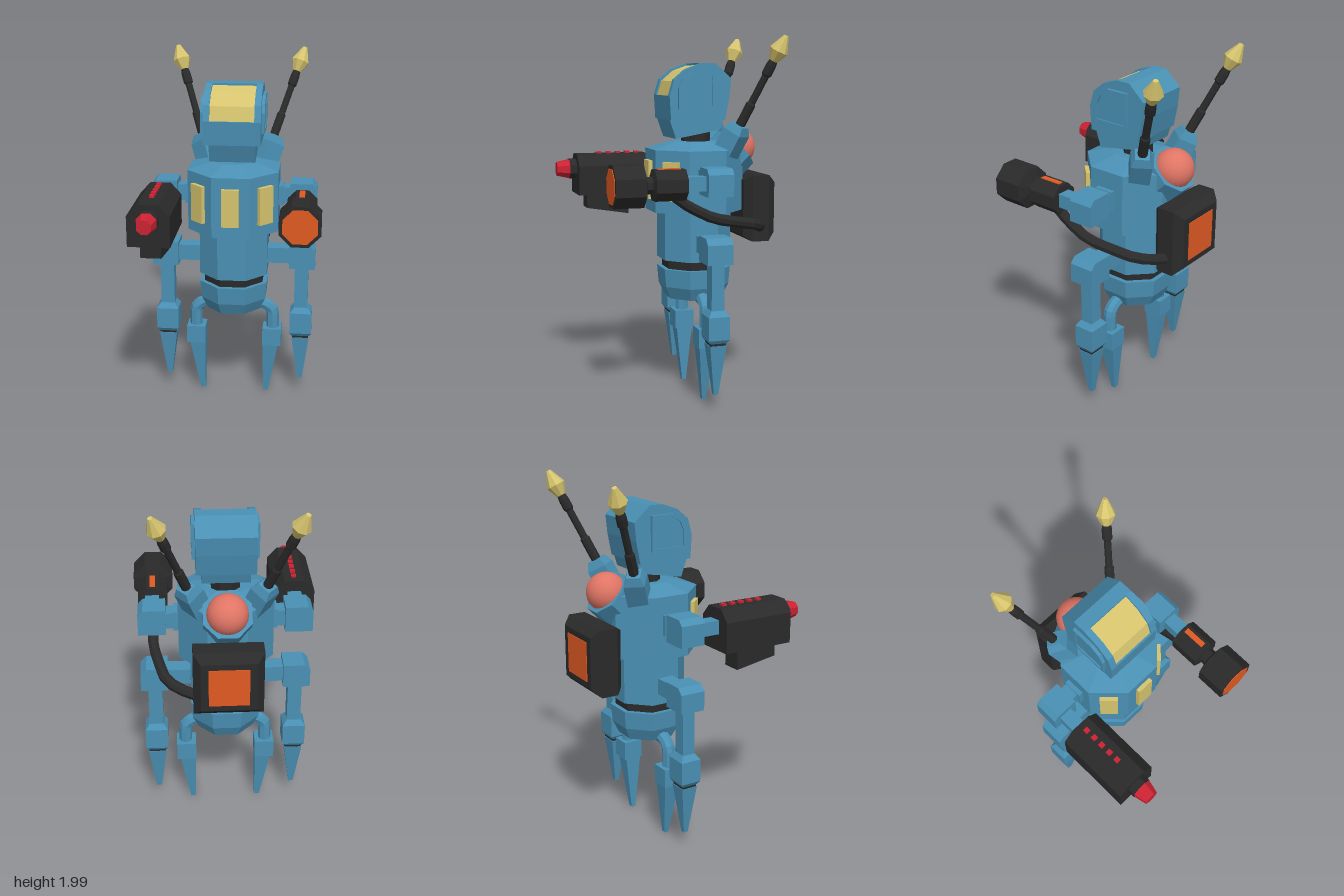
import * as THREE from 'three';

const material = (color) => new THREE.MeshStandardMaterial({ color, flatShading: true });
const BLUE = material(0x4a90b4), DARK = material(0x2a2a2a), YELLOW = material(0xd6c46e);
const ORANGE = material(0xe05a22), RED = material(0xcc2233);
const CORAL = new THREE.MeshStandardMaterial({ color: 0xe07565 });
const CZ = -0.14; // depth of the body axis
const V = (x, y, z) => new THREE.Vector3(x, y, z);

function add(parent, name, geometry, mat, x = 0, y = 0, z = 0) {
  const mesh = new THREE.Mesh(geometry, mat);
  mesh.name = name;
  mesh.position.set(x, y, z);
  parent.add(mesh);
  return mesh;
}

// Box given by its extents on each axis
function box(parent, name, mat, [x0, x1], [y0, y1], [z0, z1]) {
  return add(parent, name, new THREE.BoxGeometry(x1 - x0, y1 - y0, z1 - z0), mat,
    (x0 + x1) / 2, (y0 + y1) / 2, (z0 + z1) / 2);
}

// Octagonal turned form; rows are [half width across flats, height]
function octagon(rows) {
  const pts = [[0, rows[0][1]], ...rows, [0, rows.at(-1)[1]]];
  const k = 1 / Math.cos(Math.PI / 8);
  const g = new THREE.LatheGeometry(pts.map(([r, y]) => new THREE.Vector2(r * k, y)), 8);
  return g.rotateY(Math.PI / 8);
}
const octagonZ = (rows) => octagon(rows).rotateX(Math.PI / 2);

// Square-section form along y; rows are [centre x, half x, half z, y], bottom up
function squareLoft(rows) {
  const pos = [], idx = [];
  rows.forEach(([c, a, b, y]) => pos.push(c - a, y, b, c + a, y, b, c + a, y, -b, c - a, y, -b));
  for (let r = 0; r < rows.length - 1; r++) for (let i = 0; i < 4; i++) {
    const a = r * 4 + i, b = r * 4 + (i + 1) % 4;
    idx.push(a, b, b + 4, a, b + 4, a + 4);
  }
  const t = (rows.length - 1) * 4;
  idx.push(0, 2, 1, 0, 3, 2, t, t + 1, t + 2, t, t + 2, t + 3);
  const g = new THREE.BufferGeometry();
  g.setAttribute('position', new THREE.Float32BufferAttribute(pos, 3));
  g.setIndex(idx);
  g.computeVertexNormals();
  return g;
}

// Extruded outline, centred on its depth
function extrude(points, depth, hole) {
  const toV = (list) => list.map(([x, y]) => new THREE.Vector2(x, y));
  const shape = new THREE.Shape(toV(points));
  if (hole) shape.holes.push(new THREE.Path(toV(hole)));
  return new THREE.ExtrudeGeometry(shape, { depth, bevelEnabled: false }).translate(0, 0, -depth / 2);
}
// Side outline of [z, y] points, extruded across x
const sideExtrude = (points, width, hole) => extrude(points, width, hole).rotateY(-Math.PI / 2);

function pipe(points, radius, sides = 8) {
  const path = new THREE.CurvePath();
  const v = points.map((p) => V(...p));
  for (let i = 1; i < v.length; i++) path.add(new THREE.LineCurve3(v[i - 1], v[i]));
  const curve = new THREE.CatmullRomCurve3(v, false, 'catmullrom', 0.25);
  return new THREE.TubeGeometry(curve, 12, radius, sides);
}

function buildBody(g) {
  add(g, 'chest', octagon([[0.25, 1.04], [0.25, 1.38], [0.12, 1.42]]), BLUE, 0, 0, CZ);
  add(g, 'abdomen', octagon([[0.19, 0.77], [0.19, 1.04]]), BLUE, 0, 0, CZ);
  add(g, 'waistBelt', octagon([[0.165, 0.72], [0.165, 0.77]]), DARK, 0, 0, CZ);
  add(g, 'pelvis', octagon([[0.15, 0.55], [0.182, 0.62], [0.19, 0.72]]), BLUE, 0, 0, CZ);
  add(g, 'neck', octagon([[0.075, 1.4], [0.075, 1.47]]), DARK, 0, 0, -0.15);
  for (const a of [-1, 0, 1].map((i) => i * Math.PI / 4)) {
    const panel = add(g, 'chestPanel', new THREE.BoxGeometry(0.095, 0.21, 0.06), YELLOW,
      Math.sin(a) * 0.242, 1.215, CZ + Math.cos(a) * 0.242);
    panel.rotation.y = a;
  }
}

function buildHead(g) {
  const brow = [[0.045, 1.67], [0.02, 1.755], [-0.045, 1.81], [-0.135, 1.842]];
  const back = [[-0.21, 1.842], [-0.3, 1.76], [-0.29, 1.66], [-0.267, 1.54]];
  const chin = [0.037, 1.54];
  for (const s of [-1, 1]) {
    add(g, 'headSide', sideExtrude([chin, ...brow, ...back], 0.035), BLUE, s * 0.1375);
    // Raised arched ear guard with an inset panel
    const arch = (d) => [[-d, 1.6 + d], [-d, 1.71 - d / 2], [-0.025 - d * 0.8, 1.76 - d * 0.8],
      [-0.08 - d * 0.4, 1.79 - d], [-0.205 + d, 1.79 - d], [-0.205 + d, 1.6 + d]];
    add(g, 'earFrame', sideExtrude(arch(0), 0.02, arch(0.016)), BLUE, s * 0.163);
    add(g, 'earPanel', sideExtrude(arch(0.016), 0.012), BLUE, s * 0.159);
  }
  // Visor sits slightly below the side rims
  const inset = brow.map(([z, y]) => [z - 0.008, y - 0.008]);
  add(g, 'headCore', sideExtrude([chin, brow[0], [-0.03, 1.67], [-0.135, 1.76], brow[3], ...back], 0.24), BLUE);
  add(g, 'visor', sideExtrude([...inset, [-0.135, 1.75], [-0.03, 1.67]], 0.24), YELLOW);
  add(g, 'jaw', sideExtrude([[0.035, 1.54], [0, 1.44], [-0.25, 1.485], [-0.267, 1.54]], 0.25), BLUE);
}

function buildBack(g) {
  // Tilted dome housing
  const dome = new THREE.Group();
  dome.name = 'rearDome';
  dome.position.set(0, 1.38, -0.385);
  dome.rotation.x = -Math.PI / 4;
  add(dome, 'domeHousing', octagon([[0.125, -0.24], [0.125, 0]]), BLUE);
  add(dome, 'domeLens', new THREE.SphereGeometry(0.108, 20, 14), CORAL);
  g.add(dome);

  // Bevelled pack with a square panel behind
  const pack = squareLoft([[0, 0.14, 0.155, -0.09], [0, 0.182, 0.183, -0.05],
    [0, 0.182, 0.183, 0.045], [0, 0.145, 0.14, 0.09]]).rotateX(-Math.PI / 2);
  add(g, 'backpack', pack, DARK, 0, 1.052, -0.473);
  box(g, 'backpackPanel', ORANGE, [-0.105, 0.105], [0.945, 1.16], [-0.567, -0.55]);
}

// Everything repeated on both sides, modelled for +x
function buildSide(g) {
  // Antenna along a leaning axis
  const antenna = new THREE.Group();
  antenna.name = 'antenna';
  antenna.position.set(0.2, 1.5, -0.33);
  antenna.quaternion.setFromUnitVectors(V(0, 1, 0), V(0.13, 0.38, -0.155).normalize());
  const mount = squareLoft([[0, 0.055, 0.055, -0.25], [0, 0.055, 0.055, -0.03], [0, 0.037, 0.037, 0.015]]);
  add(antenna, 'antennaMount', mount.rotateY(0.7), BLUE);
  add(antenna, 'antennaRod', octagon([[0.024, 0], [0.024, 0.14], [0.018, 0.15],
    [0.018, 0.31], [0.025, 0.32], [0.025, 0.37], [0.018, 0.42]]), DARK);
  add(antenna, 'antennaTip', octagon([[0.022, 0.4], [0.047, 0.46], [0.012, 0.545]]), YELLOW);
  g.add(antenna);

  // Arm
  box(g, 'shoulderCollar', BLUE, [0.22, 0.275], [1.175, 1.285], [-0.19, -0.085]);
  box(g, 'shoulderBar', BLUE, [0.25, 0.33], [1.185, 1.275], [-0.185, -0.1]);
  add(g, 'elbowBlock', extrude([[0.315, 1.16], [0.462, 1.16], [0.462, 1.275], [0.435, 1.305], [0.315, 1.305]], 0.138),
    BLUE, 0, 0, -0.141);
  box(g, 'forearm', BLUE, [0.35, 0.425], [1.19, 1.265], [-0.08, 0.05]);

  // Outer leg
  box(g, 'hipBar', BLUE, [0.16, 0.33], [0.83, 0.92], [CZ - 0.045, CZ + 0.045]);
  add(g, 'hipBlock', extrude([[0.315, 0.805], [0.462, 0.805], [0.462, 0.91], [0.43, 0.942], [0.315, 0.942]], 0.14),
    BLUE, 0, 0, CZ);
  box(g, 'outerShin', BLUE, [0.347, 0.424], [0.54, 0.81], [CZ - 0.035, CZ + 0.035]);
  add(g, 'outerAnkle', squareLoft([[0.387, 0.05, 0.045, 0.38], [0.387, 0.063, 0.058, 0.4],
    [0.387, 0.063, 0.058, 0.525], [0.387, 0.04, 0.038, 0.555]]), BLUE, 0, 0, CZ);
  add(g, 'ankleSeal', new THREE.BoxGeometry(0.094, 0.018, 0.084), DARK, 0.387, 0.374, CZ);
  add(g, 'outerClaw', squareLoft([[0.387, 0.014, 0.012, 0.09], [0.387, 0.05, 0.046, 0.367]]), BLUE, 0, 0, CZ);

  // Inner leg
  add(g, 'innerLegElbow', pipe([[0.11, 0.565, 0], [0.18, 0.56, 0], [0.222, 0.52, 0], [0.225, 0.4, 0]], 0.036),
    BLUE, 0, 0, CZ);
  box(g, 'innerAnkle', BLUE, [0.167, 0.275], [0.313, 0.418], [CZ - 0.055, CZ + 0.055]);
  add(g, 'innerClaw', squareLoft([[0.187, 0.014, 0.012, 0], [0.213, 0.045, 0.046, 0.315]]), BLUE, 0, 0, CZ);
}

function buildLeftCannon(g) {
  const x = 0.385, y = 1.225;
  add(g, 'cannonBody', octagonZ([[0.08, 0.035], [0.08, 0.2], [0.043, 0.21], [0.043, 0.24],
    [0.108, 0.26], [0.108, 0.42]]), DARK, x, y);
  add(g, 'cannonLens', octagonZ([[0.09, 0.4], [0.09, 0.424]]), ORANGE, x, y);
  box(g, 'cannonStrip', ORANGE, [0.37, 0.4], [1.29, 1.309], [0.055, 0.18]);
  add(g, 'supplyHose', pipe([[0.1, 0.94, -0.48], [0.2, 0.955, -0.46], [0.32, 0.99, -0.38],
    [0.385, 1.04, -0.13], [0.387, 1.12, 0.03], [0.385, 1.2, 0.13]], 0.03), DARK);
}

function buildRightBlaster(g) {
  const x = -0.387;
  add(g, 'blasterBody', extrude([[-0.112, 1.1], [0.112, 1.1], [0.112, 1.265], [0.055, 1.328],
    [-0.055, 1.328], [-0.112, 1.265]], 0.41), DARK, x, 0, 0.245);
  add(g, 'blasterGrip', sideExtrude([[0.395, 1.11], [0.395, 1.02], [0.15, 0.98], [0.15, 1.11]], 0.11), DARK, x);
  add(g, 'blasterCollar', octagonZ([[0.055, 0.44], [0.055, 0.49]]), DARK, x, 1.245);
  add(g, 'blasterMuzzle', octagonZ([[0.053, 0.49], [0.038, 0.56]]), RED, x, 1.245);
  for (let i = 0; i < 5; i++)
    add(g, 'blasterButton', new THREE.BoxGeometry(0.027, 0.025, 0.027), RED, x, 1.327, 0.092 + i * 0.055);
}

export function createModel() {
  const model = new THREE.Group();
  model.name = 'robot';
  const group = (name, build) => {
    const g = new THREE.Group();
    g.name = name;
    build(g);
    model.add(g);
    return g;
  };
  group('body', buildBody);
  group('head', buildHead);
  group('back', buildBack);
  group('leftLimbs', buildSide);
  group('rightLimbs', buildSide).scale.x = -1;
  group('leftCannon', buildLeftCannon);
  group('rightBlaster', buildRightBlaster);
  return model;
}
